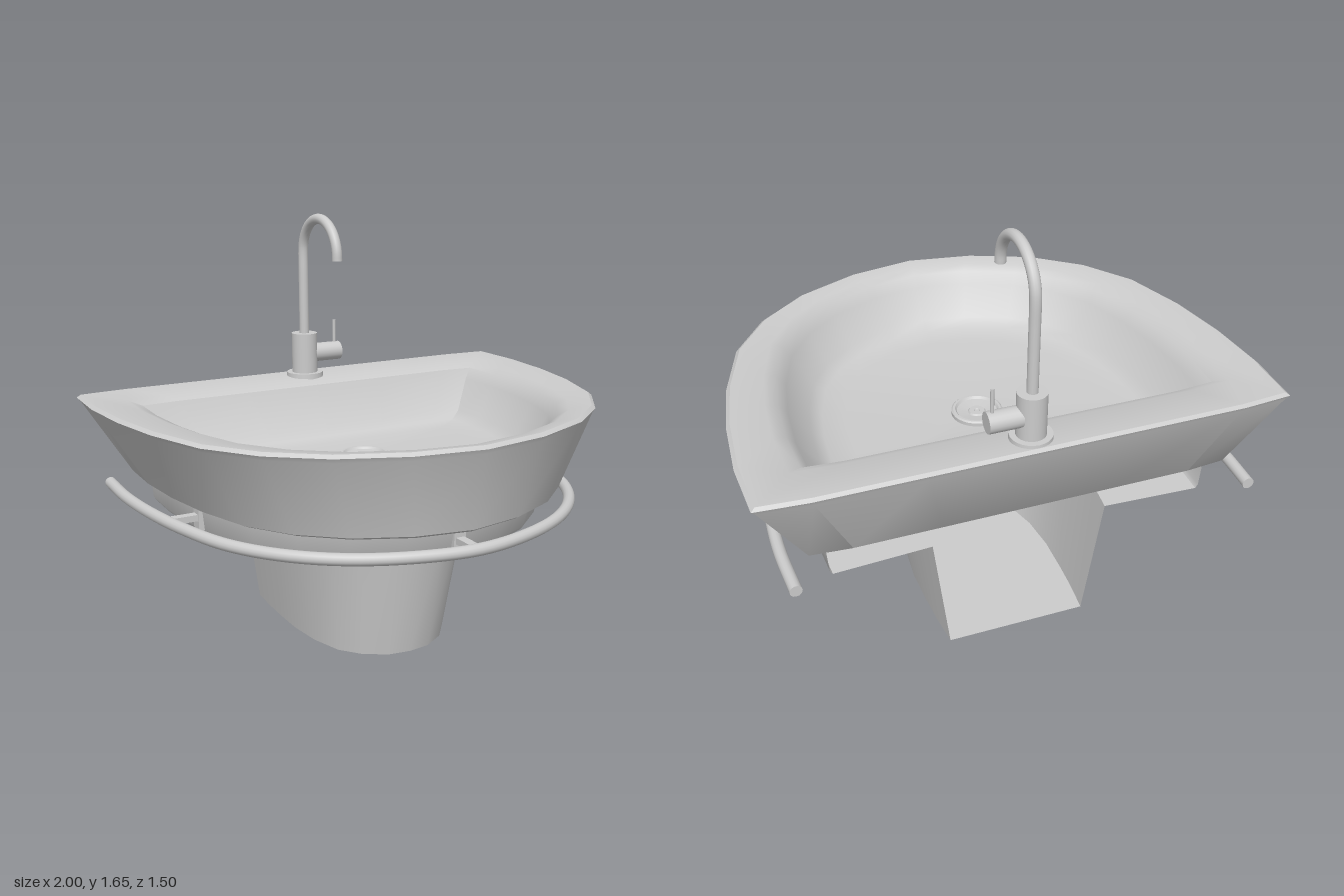
import * as THREE from 'three';
import { toCreasedNormals } from 'three/addons/utils/BufferGeometryUtils.js';

const material = new THREE.MeshStandardMaterial({ color: 0xcccccc, side: THREE.DoubleSide });

// Half outlines from front centre to back corner: [share of half width, share of depth]
const basinHalf = [[0, 1], [0.27, 0.97], [0.52, 0.9], [0.71, 0.8], [0.85, 0.67], [0.935, 0.5], [0.98, 0.34], [1, 0.17], [0.99, 0.01]];
const pedestalHalf = [[0, 1], [0.3, 0.985], [0.6, 0.92], [0.82, 0.82], [0.95, 0.66], [1, 0.48], [0.99, 0.3], [0.97, 0.15], [0.93, 0]];
const backEdge = [[0.8, 0], [0.4, 0], [0, 0]];

function add(group, name, geometry, x = 0, y = 0, z = 0) {
  const mesh = new THREE.Mesh(geometry, material);
  mesh.name = name;
  mesh.position.set(x, y, z);
  group.add(mesh);
  return mesh;
}

// Open run from the right back corner round the front to the left back corner
function mirrorHalf(half) {
  return [...half.slice(1).reverse().map(([u, v]) => [-u, v]), ...half];
}

function ring(outline, halfWidth, back, front, y) {
  return outline.map(([u, v]) => new THREE.Vector3(u * halfWidth, y, back + v * (front - back)));
}

// Skin a list of equal-length rings, leaving out collapsed triangles
function loft(rings, crease = 0.65) {
  const out = [];
  const triangle = new THREE.Triangle();
  const push = (a, b, c) => {
    if (triangle.set(a, b, c).getArea() > 1e-9) out.push(...a, ...b, ...c);
  };
  for (let r = 0; r < rings.length - 1; r++) {
    const a = rings[r], b = rings[r + 1];
    for (let i = 0; i < a.length - 1; i++) {
      push(a[i], a[i + 1], b[i + 1]);
      push(a[i], b[i + 1], b[i]);
    }
  }
  const geometry = new THREE.BufferGeometry();
  geometry.setAttribute('position', new THREE.Float32BufferAttribute(out, 3));
  return toCreasedNormals(geometry, crease);
}

// Round tube with flat end caps
function addTube(group, name, curve, segments, radius) {
  add(group, name, new THREE.TubeGeometry(curve, segments, radius, 14));
  for (const t of [0, 1]) {
    const p = curve.getPoint(t);
    const cap = add(group, name + 'End', new THREE.CircleGeometry(radius, 14), p.x, p.y, p.z);
    const direction = curve.getTangent(t).multiplyScalar(t ? 1 : -1);
    cap.quaternion.setFromUnitVectors(new THREE.Vector3(0, 0, 1), direction);
  }
}

function createBasin(group) {
  const right = [...basinHalf, ...backEdge];
  const left = right.slice(0, -1).reverse().map(([u, v]) => [-u, v]);
  const outline = [...right, ...left];
  // Underside, outer wall, rounded rim, inner wall and floor: [half width, back, front, y]
  const sections = [
    [0, 0, 0, 0.62], [0.78, -0.645, 0.65, 0.62], [0.81, -0.66, 0.67, 0.632],
    [0.985, -0.747, 0.737, 0.925], [1, -0.755, 0.745, 0.942], [0.985, -0.745, 0.73, 0.954],
    [0.84, -0.59, 0.675, 0.945], [0.79, -0.55, 0.645, 0.925], [0.755, -0.53, 0.615, 0.88],
    [0.67, -0.46, 0.54, 0.755], [0.62, -0.43, 0.5, 0.725], [0.52, -0.37, 0.42, 0.712],
    [0, -0.13, -0.13, 0.705]
  ];
  add(group, 'basin', loft(sections.map(s => ring(outline, ...s))));
}

function createSupport(group) {
  const pedestal = mirrorHalf(pedestalHalf);
  const band = mirrorHalf(basinHalf);
  // Hollow pedestal and apron, both open towards the wall
  add(group, 'pedestal', loft([
    ring(pedestal, 0, -0.59, -0.59, 0),
    ring(pedestal, 0.295, -0.59, 0.24, 0),
    ring(pedestal, 0.368, -0.6, 0.32, 0.5)
  ]));
  add(group, 'apron', loft([
    ring(pedestal, 0.368, -0.6, 0.32, 0.5),
    ring(band, 0.725, -0.63, 0.55, 0.5),
    ring(band, 0.735, -0.63, 0.56, 0.515),
    ring(band, 0.745, -0.63, 0.585, 0.625)
  ]));
}

function createRail(group) {
  const path = ring(mirrorHalf(basinHalf), 0.88, -0.75, 0.7, 0.568);
  addTube(group, 'towelRail', new THREE.CatmullRomCurve3(path, false, 'centripetal'), 80, 0.023);
  // Brackets: wall plate and arm, at the front and on both sides
  const places = [[0, 0.565, 0], [0.71, -0.14, Math.PI / 2], [-0.71, -0.14, -Math.PI / 2]];
  for (const [x, z, turn] of places) {
    const bracket = new THREE.Group();
    bracket.name = 'railBracket';
    bracket.position.set(x, 0.565, z);
    bracket.rotation.y = turn;
    add(bracket, 'bracketPlate', new THREE.BoxGeometry(0.05, 0.1, 0.03));
    add(bracket, 'bracketArm', new THREE.BoxGeometry(0.035, 0.025, 0.14), 0, 0, 0.07);
    group.add(bracket);
  }
}

function createFaucet(group) {
  const faucet = new THREE.Group();
  faucet.name = 'faucet';
  faucet.position.set(0, 0, -0.665);
  add(faucet, 'faucetBase', new THREE.CylinderGeometry(0.078, 0.08, 0.025, 24), 0, 0.953, 0);
  add(faucet, 'faucetBody', new THREE.CylinderGeometry(0.055, 0.055, 0.175, 24), 0, 1.048, 0);

  // Swan neck spout: straight riser, then an arch
  const points = [1.12, 1.2, 1.3, 1.4].map(y => new THREE.Vector3(0, y, 0));
  for (let i = 0; i <= 14; i++) {
    const a = Math.PI - (i / 14) * Math.PI * 1.02;
    points.push(new THREE.Vector3(0, 1.483 + 0.15 * Math.sin(a), 0.157 + 0.157 * Math.cos(a)));
  }
  addTube(faucet, 'spout', new THREE.CatmullRomCurve3(points), 60, 0.021);

  // Mixer handle with a thin upright lever
  const handle = add(faucet, 'handle', new THREE.CylinderGeometry(0.04, 0.04, 0.125, 20), 0.103, 1.045, 0);
  handle.rotation.z = -Math.PI / 2;
  add(faucet, 'lever', new THREE.CylinderGeometry(0.007, 0.007, 0.11, 10), 0.145, 1.125, 0);
  group.add(faucet);
}

function createDrain(group) {
  // Raised flange round a shallow cup with a small centre plug
  const profile = [[0.1, -0.005], [0.1, 0.012], [0.094, 0.017], [0.085, 0.017], [0.078, 0.008], [0.035, 0.002],
    [0.03, 0.008], [0.012, 0.008], [0.009, 0.003], [0, 0.003]].map(p => new THREE.Vector2(...p)).reverse();
  const flange = new THREE.LatheGeometry(profile, 28).toNonIndexed();
  // Lathe runs from the axis outwards, so swap corners to face upwards
  const position = flange.attributes.position;
  for (let i = 0; i < position.count; i += 3) {
    const a = new THREE.Vector3().fromBufferAttribute(position, i);
    const b = new THREE.Vector3().fromBufferAttribute(position, i + 1);
    position.setXYZ(i, b.x, b.y, b.z);
    position.setXYZ(i + 1, a.x, a.y, a.z);
  }
  add(group, 'drain', toCreasedNormals(flange, 0.5), 0, 0.709, -0.13);
  add(group, 'drainTail', new THREE.CylinderGeometry(0.06, 0.05, 0.06, 20), 0, 0.6, -0.13);
}

export function createModel() {
  const model = new THREE.Group();
  model.name = 'washbasin';
  createBasin(model);
  createSupport(model);
  createRail(model);
  createFaucet(model);
  createDrain(model);
  return model;
}
